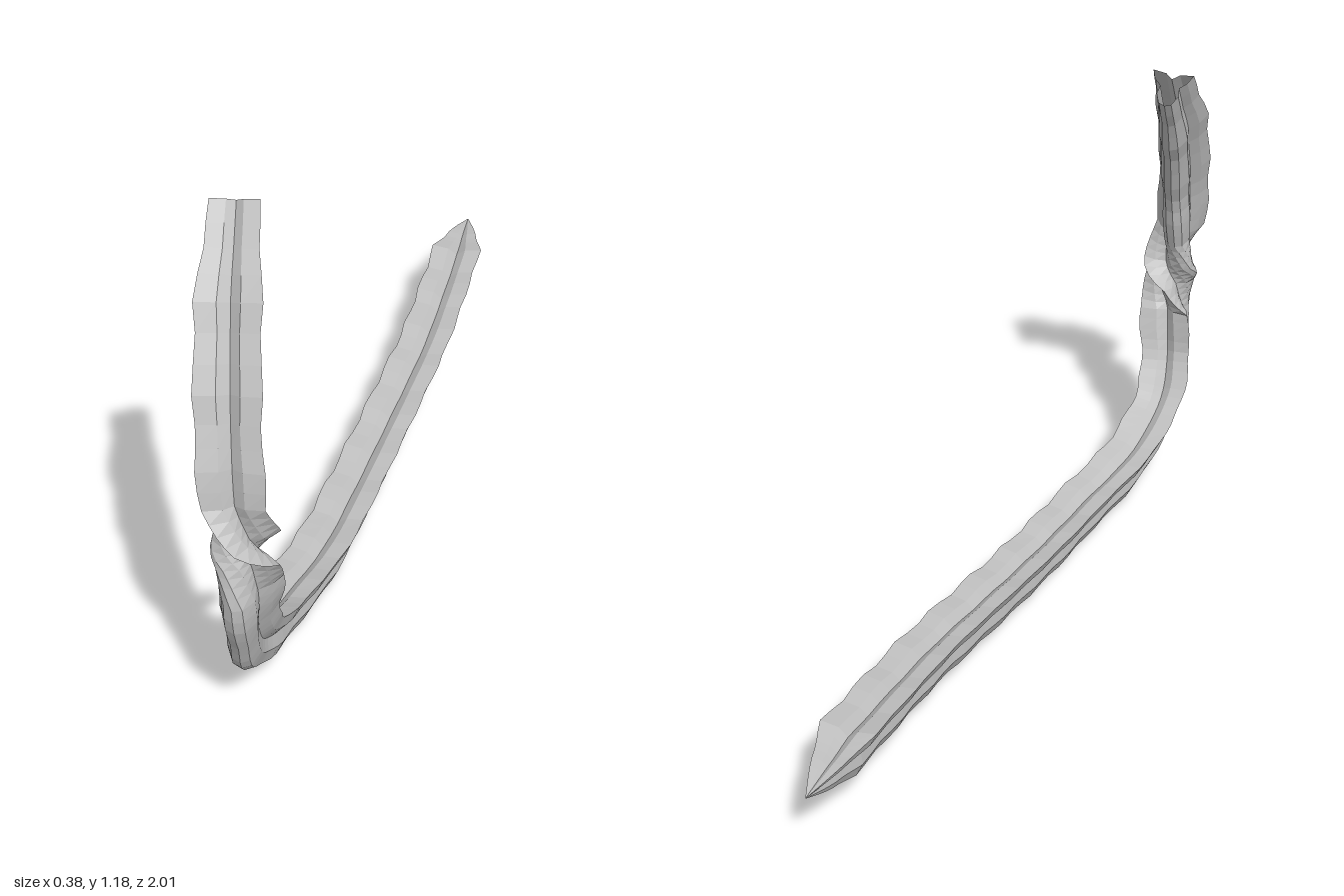
import * as THREE from 'three';

// Stations along the blade: x, y, z, section scale, twist in degrees
const STATIONS = [
  [0.13, 0.18, -1.0, 0.02, 0], [0.127, 0.164, -0.9, 0.6, 0], [0.125, 0.15, -0.8, 1, 0],
  [0.112, 0.132, -0.6, 1, 0], [0.095, 0.115, -0.4, 1, 0], [0.067, 0.098, -0.2, 1, 0],
  [0.037, 0.082, 0, 1, 0], [0.008, 0.071, 0.2, 1, 0], [-0.022, 0.07, 0.4, 1, 0],
  [-0.068, 0.09, 0.6, 1, 0], [-0.09, 0.132, 0.74, 1, 0], [-0.1, 0.2, 0.84, 1, 0],
  [-0.093, 0.3, 0.9, 1.05, 0], [-0.086, 0.42, 0.932, 1.08, -8], [-0.086, 0.5, 0.932, 0.95, -50],
  [-0.09, 0.56, 0.93, 0.95, -125], [-0.095, 0.64, 0.92, 1.02, -172], [-0.103, 0.8, 0.875, 1.06, -180],
  [-0.12, 1.0, 0.77, 1.04, -180], [-0.133, 1.155, 0.648, 0.76, -180],
];

// Half of the hollow section, from the groove round the lip to the keel
const HALF_SECTION = [
  [0, 0.034], [0.022, 0.052], [0.064, 0.058], [0.05, 0.028], [0.029, 0.007],
  [0.034, -0.022], [0.019, -0.053], [0, -0.061],
];
const SECTION = [
  ...HALF_SECTION,
  ...HALF_SECTION.slice(1, -1).reverse().map(([a, b]) => [-a, b]),
];

function bladeGeometry(rings) {
  const curve = new THREE.CatmullRomCurve3(STATIONS.map(s => new THREE.Vector3(s[0], s[1], s[2])));
  const cols = SECTION.length;
  const positions = [];
  const indices = [];
  const previous = curve.getPoint(0);
  let length = 0;
  for (let i = 0; i <= rings; i++) {
    const u = i / rings;
    const p = curve.getPoint(u);
    length += p.distanceTo(previous);
    previous.copy(p);

    // Scale and twist between neighbouring stations, with gentle waves
    const f = u * (STATIONS.length - 1);
    const k = Math.min(Math.floor(f), STATIONS.length - 2);
    const mix = c => THREE.MathUtils.lerp(STATIONS[k][c], STATIONS[k + 1][c], f - k);
    const scale = mix(3) * (1 + 0.05 * Math.sin(length * Math.PI * 2 / 0.17));

    // Side and groove directions
    const tangent = curve.getTangent(u);
    const side = new THREE.Vector3(1, 0, 0).addScaledVector(tangent, -tangent.x).normalize();
    side.applyAxisAngle(tangent, THREE.MathUtils.degToRad(mix(4)));
    const groove = new THREE.Vector3().crossVectors(tangent, side);

    for (const [a, b] of SECTION) {
      const v = p.clone().addScaledVector(side, a * scale).addScaledVector(groove, b * scale);
      positions.push(v.x, Math.max(v.y, 0), v.z);
    }
  }
  for (let i = 0; i < rings; i++) {
    for (let j = 0; j < cols; j++) {
      const next = (j + 1) % cols;
      const a = i * cols + j, b = i * cols + next, c = a + cols, d = b + cols;
      indices.push(a, b, c, b, d, c);
    }
  }
  const geometry = new THREE.BufferGeometry();
  geometry.setAttribute('position', new THREE.Float32BufferAttribute(positions, 3));
  geometry.setIndex(indices);
  geometry.computeVertexNormals();
  return geometry;
}

export function createModel() {
  const group = new THREE.Group();
  group.name = 'curledLeaf';
  const grey = new THREE.MeshStandardMaterial({
    color: 0xc0c0c0, side: THREE.DoubleSide, flatShading: true,
  });
  grey.name = 'light grey';

  // Long grooved blade that bends upright, twists over and ends in an open cut
  const blade = new THREE.Mesh(bladeGeometry(76), grey);
  blade.name = 'leafBlade';
  group.add(blade);
  return group;
}
